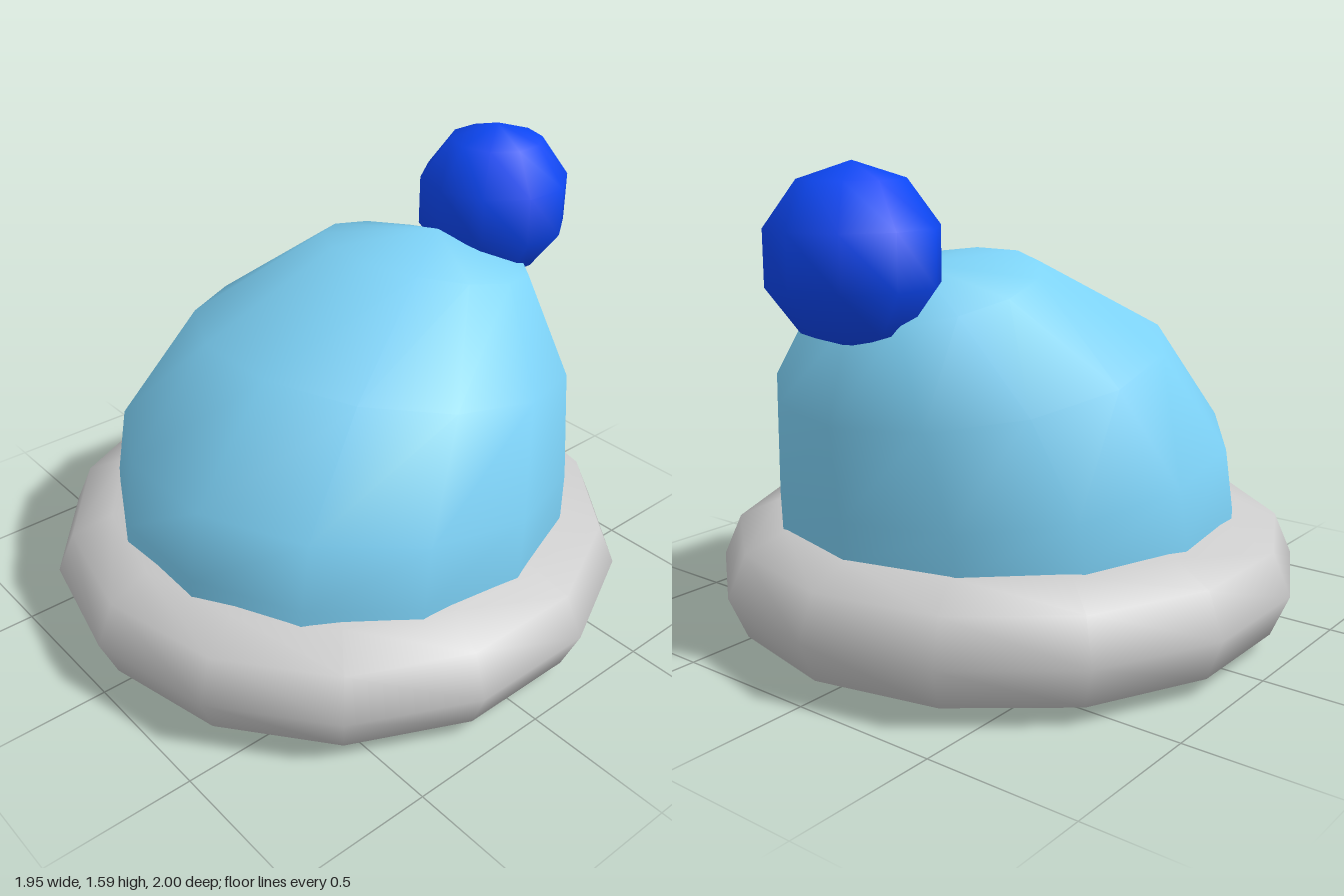
import * as THREE from 'three';

const SIDES = 13;

function part(name, geometry, color) {
  const material = new THREE.MeshStandardMaterial({ color, side: THREE.DoubleSide });
  const mesh = new THREE.Mesh(geometry, material);
  mesh.name = name;
  return mesh;
}

// Slouching dome: tilted rings that shrink and lean back, closed by a tip
function crownGeometry() {
  // radius, centre z, front height, back height
  const rings = [
    [0.785, 0, 0.33, 0.33],
    [0.79, -0.01, 0.46, 0.39],
    [0.775, -0.035, 0.70, 0.52],
    [0.645, -0.2, 1.05, 0.82],
    [0.36, -0.4, 1.28, 1.11],
  ];
  const positions = [], index = [];
  for (const [r, cz, front, back] of rings) {
    for (let i = 0; i < SIDES; i++) {
      const a = ((i + 0.5) / SIDES) * Math.PI * 2;
      const t = (1 - Math.cos(a)) / 2;
      positions.push(0.008 + r * Math.sin(a), front + (back - front) * t, cz + r * Math.cos(a));
    }
  }
  positions.push(0.008, 1.265, -0.45);
  const tip = rings.length * SIDES;
  for (let j = 0; j < rings.length; j++) {
    for (let i = 0; i < SIDES; i++) {
      const a = j * SIDES + i, b = j * SIDES + ((i + 1) % SIDES);
      if (j === rings.length - 1) index.push(a, b, tip);
      else index.push(a, b, b + SIDES, a, b + SIDES, a + SIDES);
    }
  }
  const g = new THREE.BufferGeometry();
  g.setAttribute('position', new THREE.Float32BufferAttribute(positions, 3));
  g.setIndex(index);
  g.computeVertexNormals();
  return g;
}

export function createModel() {
  const group = new THREE.Group();
  group.name = 'bobbleHat';

  // Rolled brim, open on the inside, with a lip tucked into the crown
  const brimProfile = [
    [0.8, 0], [0.94, 0.06], [1, 0.2], [0.94, 0.34], [0.8, 0.4], [0.7, 0.42],
  ].map(([x, y]) => new THREE.Vector2(x, y));
  group.add(part('brim', new THREE.LatheGeometry(brimProfile, 14), 0xcccccc));

  group.add(part('crown', crownGeometry(), 0x7dd2f7));

  // Bobble sitting on the back of the crown
  const bobble = part('bobble', new THREE.SphereGeometry(0.275, 10, 5), 0x0d47f5);
  bobble.rotation.y = Math.PI / 2;
  bobble.position.set(0.01, 1.312, -0.72);
  group.add(bobble);

  return group;
}
